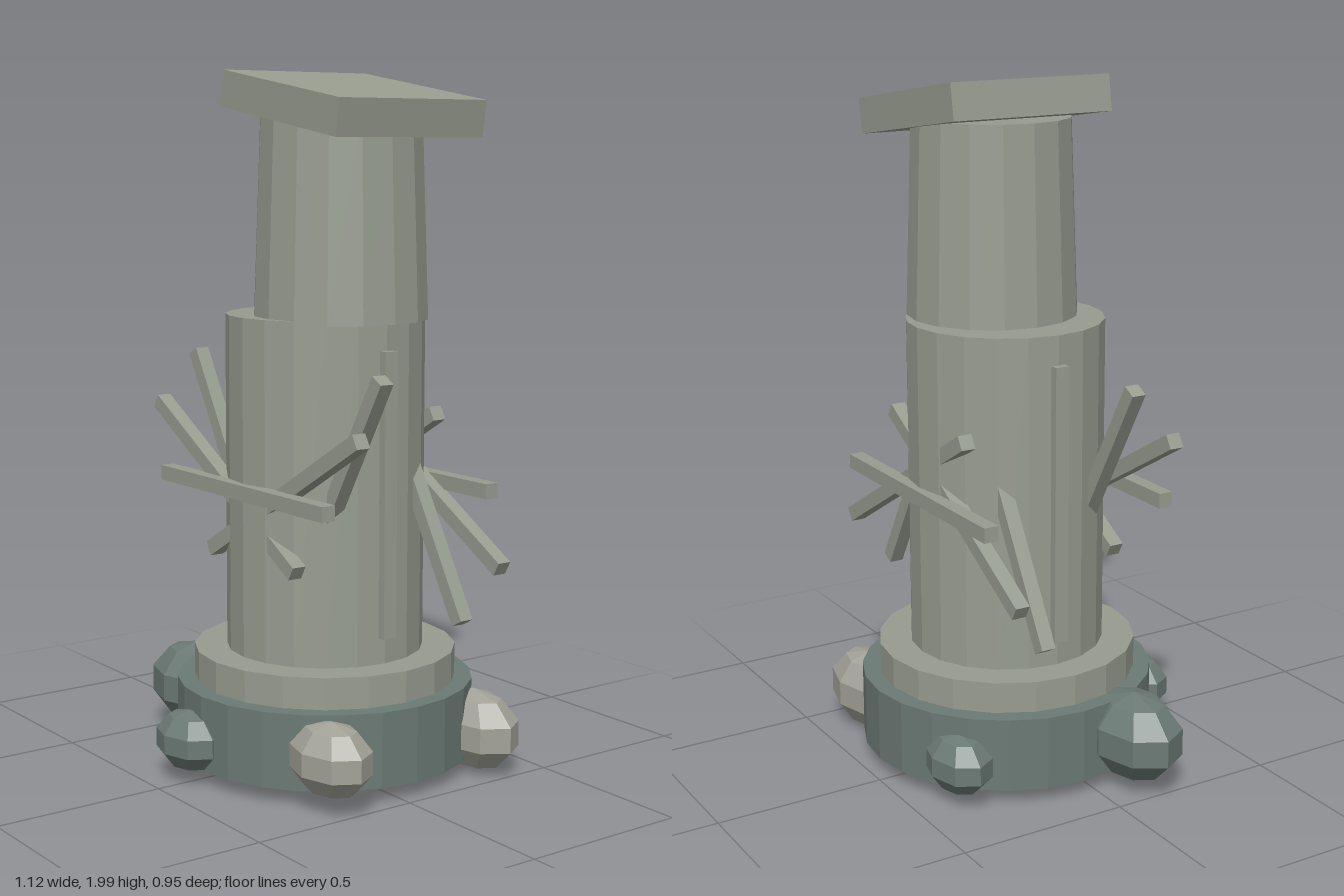
import * as THREE from 'three';

const flat = (name, color) => {
  const m = new THREE.MeshStandardMaterial({ color, flatShading: true });
  m.name = name;
  return m;
};

export function createModel() {
  const group = new THREE.Group();
  const stone = flat('grey green stone', 0x979c8f);
  const slate = flat('blue slate', 0x6b7a75);
  const pale = flat('pale rock', 0xa2a297);
  const cx = 0.045, cz = -0.045; // tower axis

  const add = (name, geometry, material, x, y, z) => {
    const mesh = new THREE.Mesh(geometry, material);
    mesh.name = name;
    mesh.position.set(x, y, z);
    group.add(mesh);
    return mesh;
  };
  const drum = (name, rTop, rBottom, y0, y1, sides, material, x = cx) =>
    add(name, new THREE.CylinderGeometry(rTop, rBottom, y1 - y0, sides), material, x, (y0 + y1) / 2, cz);

  // Stacked tower
  drum('base', 0.43, 0.43, 0.05, 0.265, 24, slate);
  drum('plinth', 0.38, 0.38, 0.265, 0.355, 20, stone);
  drum('shaft', 0.285, 0.285, 0.355, 1.32, 20, stone);
  drum('upperShaft', 0.228, 0.248, 1.31, 1.88, 16, stone, 0.117);

  // Tilted cap slab
  add('capSlab', new THREE.BoxGeometry(0.547, 0.102, 0.5), stone, 0.164, 1.907, cz).rotation.z = -0.16;

  // Twelve bars around the shaft, each turned 30 degrees further than the last
  for (let i = 0; i < 12; i++) {
    const a = (i * Math.PI) / 6;
    const bar = add('bar', new THREE.BoxGeometry(0.805, 0.043, 0.043), stone,
      cx + 0.285 * Math.cos(a), 0.833, cz + 0.285 * Math.sin(a));
    bar.rotation.z = Math.PI / 2 - a;
  }

  // Rocks around the base: centre, radii, material
  const rocks = [
    [-0.39, 0.16, 0.12, 0.18, 0.128, 0.127, slate],
    [-0.015, 0.125, 0.385, 0.124, 0.087, 0.09, slate],
    [-0.22, 0.125, -0.36, 0.13, 0.09, 0.09, slate],
    [0.42, 0.152, 0.21, 0.143, 0.105, 0.103, pale],
    [0.37, 0.125, -0.34, 0.17, 0.118, 0.108, pale],
  ];
  for (const [x, y, z, rx, ry, rz, material] of rocks) {
    add('rock', new THREE.SphereGeometry(1, 8, 5), material, x, y, z).scale.set(rx, ry, rz);
  }
  return group;
}
